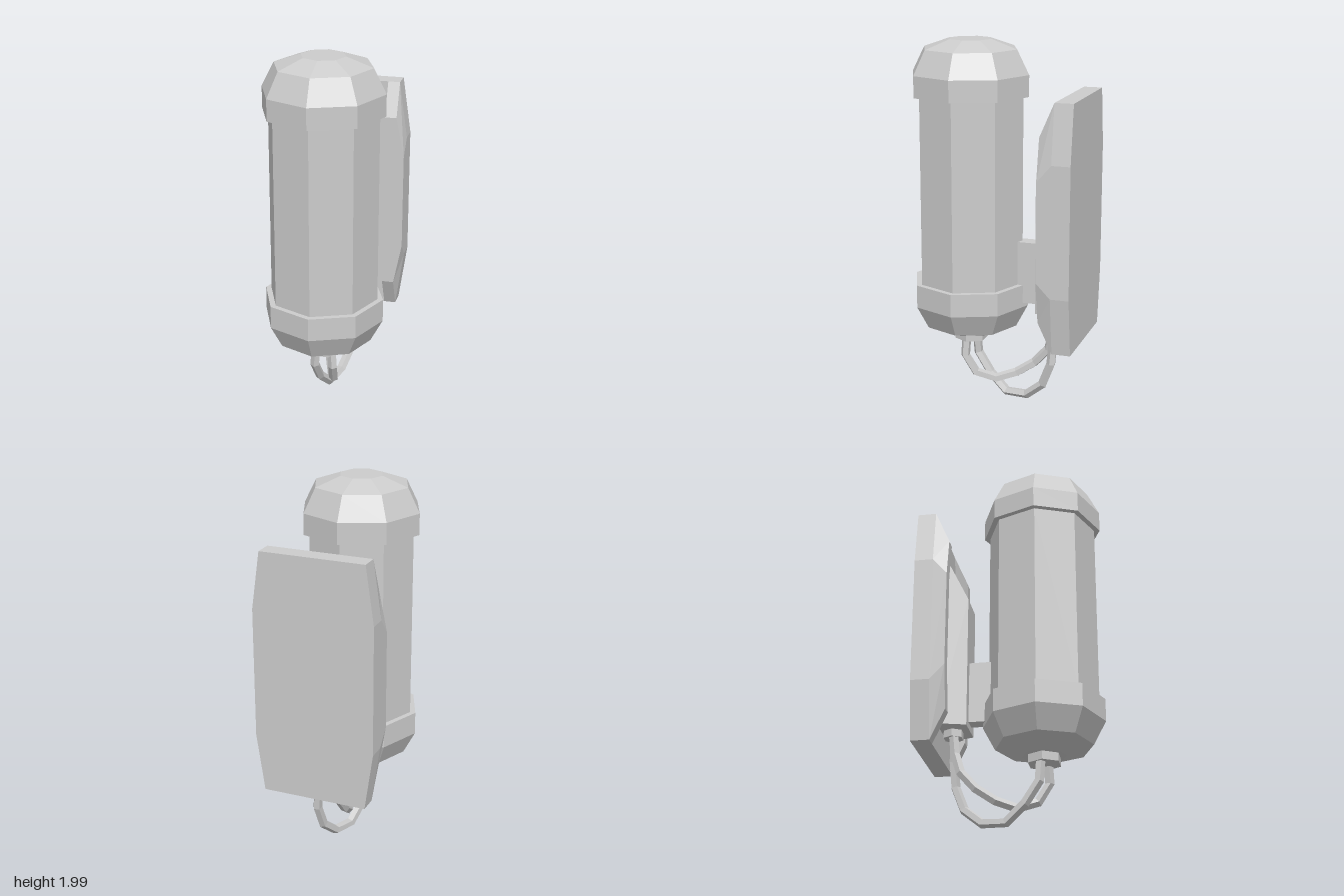
import * as THREE from 'three';

const V = (x, y, z) => new THREE.Vector3(x, y, z);
const material = new THREE.MeshStandardMaterial({ color: 0xcccccc, flatShading: true });

// Closed solid through four-cornered rings, stacked from bottom to top
function loft(rings) {
  const positions = rings.flat().flatMap((p) => [p.x, p.y, p.z]);
  const index = [0, 2, 1, 0, 3, 2];
  for (let r = 0; r < rings.length - 1; r++) {
    for (let i = 0; i < 4; i++) {
      const a = r * 4 + i;
      const b = r * 4 + ((i + 1) % 4);
      index.push(a, b, b + 4, a, b + 4, a + 4);
    }
  }
  const t = (rings.length - 1) * 4;
  index.push(t, t + 1, t + 2, t, t + 2, t + 3);
  const geometry = new THREE.BufferGeometry();
  geometry.setAttribute('position', new THREE.Float32BufferAttribute(positions, 3));
  geometry.setIndex(index);
  geometry.computeVertexNormals();
  return geometry;
}

export function createModel() {
  const model = new THREE.Group();
  model.name = 'wallMountedCanister';
  const add = (name, geometry, x = 0, y = 0, z = 0) => {
    const mesh = new THREE.Mesh(geometry, material);
    mesh.name = name;
    mesh.position.set(x, y, z);
    model.add(mesh);
    return mesh;
  };

  // Eight-sided canister with a domed cap at each end
  const axisZ = 0.158;
  const lathe = (name, profile) =>
    add(name, new THREE.LatheGeometry(profile.map(([r, y]) => new THREE.Vector2(r, y)), 8), 0, 0, axisZ);
  lathe('canisterBody', [[0.295, 0.68], [0.295, 1.71]]);
  lathe('bottomCap', [[0, 0.385], [0.118, 0.385], [0.26, 0.435], [0.326, 0.56], [0.326, 0.685], [0.28, 0.685]]);
  lathe('topCap', [[0.28, 1.705], [0.326, 1.705], [0.326, 1.82], [0.26, 1.95], [0.118, 2], [0, 2]]);

  // Back plate, narrowing towards the top and bottom
  const levels = [
    { back: 0.405, front: 0.57, outer: 0.285, inner: 0.22 },
    { back: 0.72, front: 0.8, outer: 0.33, inner: 0.265 },
    { back: 1.42, front: 1.33, outer: 0.33, inner: 0.265 },
    { back: 1.73, front: 1.55, outer: 0.285, inner: 0.22 },
  ];
  const outline = [
    ...levels.map((l) => new THREE.Vector2(l.outer, l.back)),
    ...levels.slice().reverse().map((l) => new THREE.Vector2(-l.outer, l.back)),
  ];
  add('backPlate', new THREE.ExtrudeGeometry(new THREE.Shape(outline), { depth: 0.1, bevelEnabled: false }), 0, 0, -0.488);

  // Raised flange along each side of the plate
  for (const side of [1, -1]) {
    const rings = levels.map((l) => {
      const ring = [
        V(side * l.inner, l.front, -0.31),
        V(side * l.outer, l.front, -0.31),
        V(side * l.outer, l.back, -0.388),
        V(side * l.inner, l.back, -0.388),
      ];
      return side > 0 ? ring : ring.reverse();
    });
    add(side > 0 ? 'leftFlange' : 'rightFlange', loft(rings));
  }

  // Tapered centre mount with a sloping top, and the arm to the canister
  const mountRing = (front, back) => [
    V(-0.097, front, -0.238), V(0.097, front, -0.238), V(0.14, back, -0.388), V(-0.14, back, -0.388),
  ];
  add('centreMount', loft([mountRing(0.55, 0.55), mountRing(1.285, 1.59)]));
  add('arm', new THREE.BoxGeometry(0.08, 0.34, 0.14), 0, 0.755, -0.17);

  // Hexagonal cable sockets
  const socket = (name, radius, bottom, height, z) =>
    add(name, new THREE.CylinderGeometry(radius, radius, height, 6, 1, false, Math.PI / 2), 0, bottom + height / 2, z);
  socket('canisterSocket', 0.092, 0.34, 0.06, axisZ);
  socket('mountSocket', 0.055, 0.51, 0.05, -0.325);

  // Two angular cables that cross as they sag between the sockets
  const cable = (name, points) => {
    const curve = new THREE.CatmullRomCurve3(points, false, 'centripetal');
    add(name, new THREE.TubeGeometry(curve, 8, 0.026, 5));
  };
  cable('shortCable', [
    V(0.045, 0.37, 0.17), V(0.055, 0.22, 0.17), V(0.04, 0.14, 0.1), V(0.005, 0.115, 0),
    V(-0.045, 0.18, -0.15), V(-0.055, 0.28, -0.26), V(-0.03, 0.4, -0.305), V(-0.02, 0.53, -0.32),
  ]);
  cable('longCable', [
    V(-0.045, 0.37, 0.145), V(-0.058, 0.24, 0.14), V(-0.05, 0.13, 0.07), V(-0.015, 0.028, -0.06),
    V(0.03, 0.075, -0.22), V(0.055, 0.2, -0.305), V(0.05, 0.36, -0.33), V(0.02, 0.53, -0.325),
  ]);

  return model;
}
